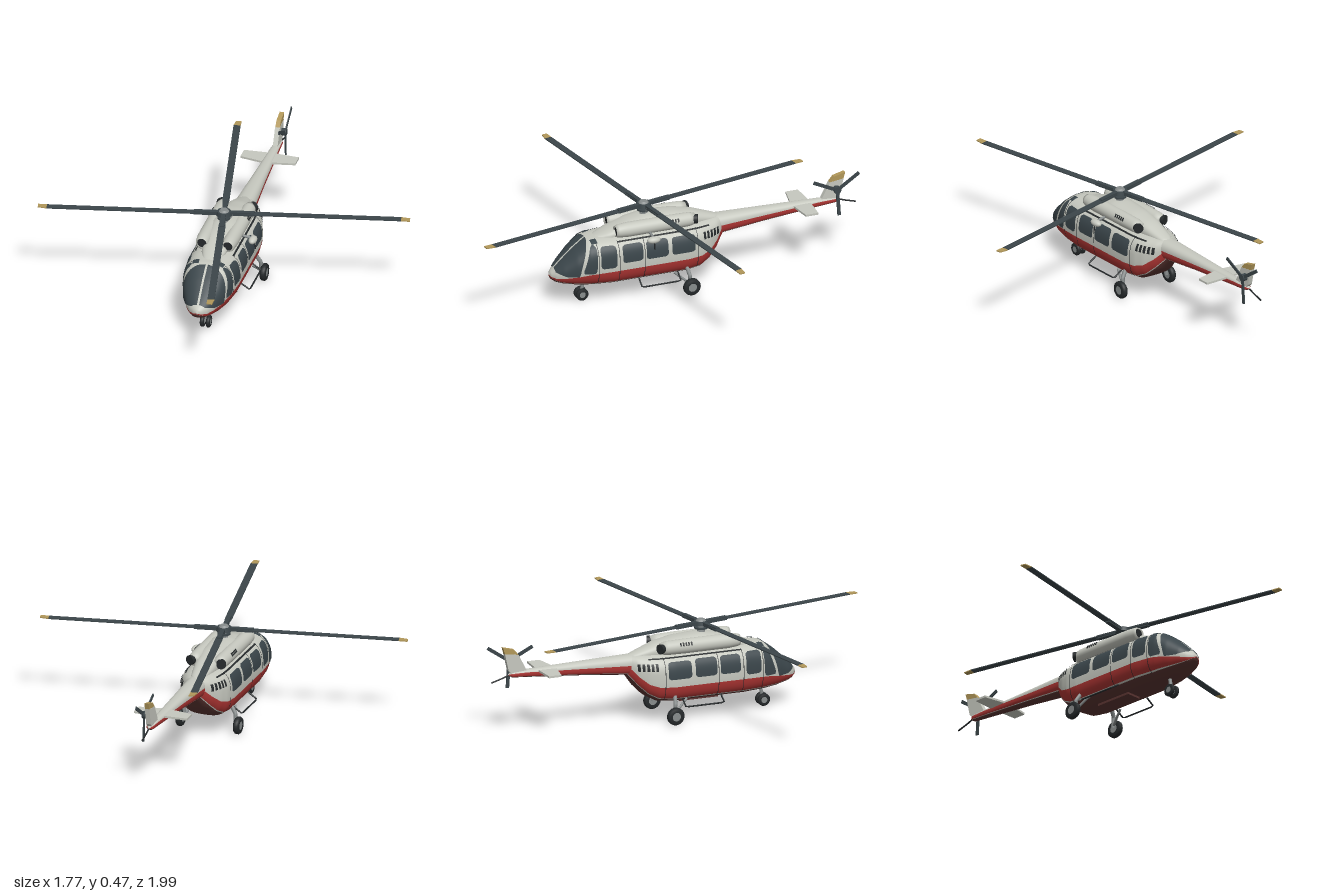
import * as THREE from 'three';

const M = (name, color, double) => {
  const m = new THREE.MeshStandardMaterial({ color });
  m.name = name;
  if (double) m.side = THREE.DoubleSide;
  return m;
};
const lerp = THREE.MathUtils.lerp, rad = THREE.MathUtils.degToRad;

// Stations, front to back: z, halfWidth, yBottom, yTop, bellyTop, redTop, squareness
const HULL = [
  [0.597, 0.001, 0.156, 0.164, 0.157, 0.161, 2.2], [0.59, 0.02, 0.14, 0.178, 0.150, 0.156, 2.2],
  [0.57, 0.045, 0.125, 0.198, 0.138, 0.152, 2.2], [0.54, 0.068, 0.115, 0.228, 0.130, 0.157, 2.3],
  [0.48, 0.098, 0.104, 0.283, 0.122, 0.168, 2.5], [0.42, 0.116, 0.098, 0.328, 0.118, 0.178, 2.7],
  [0.39, 0.121, 0.097, 0.335, 0.116, 0.18, 2.8], [0.30, 0.129, 0.094, 0.338, 0.115, 0.183, 3],
  [-0.08, 0.129, 0.094, 0.338, 0.115, 0.183, 3], [-0.15, 0.122, 0.103, 0.338, 0.124, 0.187, 3],
  [-0.20, 0.105, 0.13, 0.338, 0.15, 0.203, 2.9], [-0.245, 0.078, 0.175, 0.337, 0.193, 0.24, 2.7],
  [-0.275, 0.05, 0.215, 0.335, 0.23, 0.275, 2.5], [-0.30, 0.03, 0.25, 0.33, 0.26, 0.29, 2.4],
];
const BOOM = [
  [-0.2, 0.055, 0.235, 0.337, 0.246, 0.29, 2.5], [-0.27, 0.05, 0.238, 0.337, 0.249, 0.292, 2.5],
  [-0.5, 0.036, 0.262, 0.332, 0.27, 0.301, 2.5], [-0.8, 0.022, 0.287, 0.325, 0.292, 0.314, 2.5],
  [-0.88, 0.018, 0.293, 0.32, 0.297, 0.314, 2.4], [-0.9, 0.001, 0.305, 0.308, 0.306, 0.307, 2.2],
];
const COWL = [
  [0.37, 0.03, 0.32, 0.335, 0.325, 0.33, 2.2], [0.30, 0.058, 0.3, 0.362, 0.31, 0.32, 2.4],
  [0.2, 0.07, 0.3, 0.396, 0.31, 0.32, 2.5], [0.1, 0.074, 0.3, 0.412, 0.31, 0.32, 2.5],
  [-0.04, 0.07, 0.3, 0.404, 0.31, 0.32, 2.5], [-0.14, 0.056, 0.3, 0.385, 0.31, 0.32, 2.4],
  [-0.25, 0.035, 0.3, 0.345, 0.31, 0.32, 2.3], [-0.29, 0.002, 0.31, 0.33, 0.315, 0.32, 2.2],
];

// Cross-section interpolated at z
function section(st, z) {
  let i = 0;
  while (i < st.length - 2 && z < st[i + 1][0]) i++;
  const t = THREE.MathUtils.clamp((z - st[i][0]) / (st[i + 1][0] - st[i][0]), 0, 1);
  const [, w, yb, yt, y1, y2, n] = st[i].map((v, k) => lerp(v, st[i + 1][k], t));
  return { w, mid: (yb + yt) / 2, h: (yt - yb) / 2, y1, y2, n };
}
function angleAt(s, y) {
  const t = THREE.MathUtils.clamp((y - s.mid) / s.h, -1, 1);
  return Math.asin(Math.sign(t) * Math.abs(t) ** (s.n / 2));
}
function surface(s, z, a, side, off = 0) {
  const e = 2 / s.n, sn = Math.sin(a);
  return [side * (s.w + off) * Math.abs(Math.cos(a)) ** e,
    s.mid + (s.h + off) * Math.sign(sn) * Math.abs(sn) ** e, z];
}
function buffer(pos, index) {
  const g = new THREE.BufferGeometry();
  g.setAttribute('position', new THREE.Float32BufferAttribute(pos, 3));
  g.setIndex(index);
  g.computeVertexNormals();
  return g;
}
// Closed skin over stations; bands from keel to ridge get mats[0..3]
function loft(st, mats) {
  const steps = [8, 1, 6, 13], half = 28, ring = 56, pos = [], zs = [];
  st.forEach((s, i) => {
    if (i) for (let k = 1; k <= 4; k++) zs.push(lerp(st[i - 1][0], s[0], k / 4));
    else zs.push(s[0]);
  });
  for (const z of zs) {
    const s = section(st, z);
    const ys = [s.y1, lerp(s.y1, s.y2, 0.09), s.y2];
    const b = [-Math.PI / 2, ...ys.map((y) => angleAt(s, y)), Math.PI / 2], as = [b[0]];
    steps.forEach((c, k) => { for (let q = 1; q <= c; q++) as.push(lerp(b[k], b[k + 1], q / c)); });
    for (let j = 0; j < ring; j++) pos.push(...surface(s, z, as[j <= half ? j : ring - j], j <= half ? 1 : -1));
  }
  const lists = [[], [], [], []];
  for (let i = 0; i < zs.length - 1; i++) for (let j = 0; j < ring; j++) {
    const row = j < half ? j : ring - 1 - j;
    const band = row < 8 ? 0 : row < 9 ? 1 : row < 15 ? 2 : 3;
    const a = i * ring + j, d = i * ring + (j + 1) % ring;
    lists[band].push(a, a + ring, d + ring, a, d + ring, d);
  }
  const g = buffer(pos, lists.flat());
  let start = 0;
  lists.forEach((l, k) => { g.addGroup(start, l.length, k); start += l.length; });
  return new THREE.Mesh(g, mats);
}
// Thin panel following the hull; f(u, v) gives z and a function for the angle
function patch(f, nu, nv, side, off) {
  const pos = [], idx = [];
  for (let i = 0; i <= nu; i++) for (let j = 0; j <= nv; j++) {
    const [z, angle] = f(i / nu, j / nv), s = section(HULL, z);
    pos.push(...surface(s, z, angle(s), side, off));
    if (i < nu && j < nv) {
      const a = i * (nv + 1) + j, b = a + nv + 1;
      idx.push(...(side > 0 ? [a, b, b + 1, a, b + 1, a + 1] : [a, b + 1, b, a, a + 1, b + 1]));
    }
  }
  return buffer(pos, idx);
}

export function createModel() {
  const root = new THREE.Group();
  const light = M('light grey paint', 0xc6c8bf), red = M('red paint', 0xab3432), belly = M('dark belly paint', 0x5a3431);
  const glass = M('dark glass', 0x3b464b, true), blade = M('rotor dark grey', 0x3c464a), black = M('black rubber', 0x25292b, true);
  const metal = M('grey metal', 0x888d8d), gold = M('ochre tip', 0xb2985a);
  const add = (name, geo, mat, x = 0, y = 0, z = 0, parent = root) => {
    const m = new THREE.Mesh(geo, mat);
    m.name = name; m.position.set(x, y, z); parent.add(m);
    return m;
  };
  const rod = (name, pts, r, mat) => {
    const path = new THREE.CurvePath(), v = pts.map((p) => new THREE.Vector3(...p));
    for (let i = 1; i < v.length; i++) path.add(new THREE.LineCurve3(v[i - 1], v[i]));
    return add(name, new THREE.TubeGeometry(path, (v.length - 1) * 6, r, 8), mat);
  };
  const slab = (pts, depth) => new THREE.ExtrudeGeometry(
    new THREE.Shape(pts.map((p) => new THREE.Vector2(...p))), { depth, bevelEnabled: false }).translate(0, 0, -depth / 2);

  // Painted skins
  const paint = [belly, light, red, light];
  for (const [name, st, mats] of [['fuselage', HULL, paint], ['tailBoom', BOOM, paint], ['cowling', COWL, [light, light, light, light]]]) {
    const m = loft(st, mats); m.name = name; root.add(m);
  }

  // Panel with rounded corners on the hull side; lean shifts the top edge in z
  const panel = (name, zf, zr, y0, y1, side, mat = glass, r = 0.014, lean = [0, 0], off = 0.003) => {
    const f = (u, v) => {
      const c = Math.max(0, (Math.abs(2 * v - 1) - 0.65) / 0.35), inset = r * (1 - Math.sqrt(1 - c * c));
      return [lerp(zf + lean[0] * v - inset, zr + lean[1] * v + inset, u), (s) => angleAt(s, lerp(y0, y1, v))];
    };
    add(name, patch(f, 8, 16, side, off), mat);
  };
  for (const s of [1, -1]) {
    // Windshield halves with a centre post
    const shield = (u, v) => {
      const z = lerp(0.574, lerp(0.475, 0.412, v), u);
      return [z, (q) => lerp(angleAt(q, 0.17 + Math.max(0, z - 0.53) * 0.3),
        Math.acos((0.005 / q.w) ** (q.n / 2)), v)];
    };
    add('windshield', patch(shield, 20, 20, s, 0.003), glass);
    // Roof windows, cabin windows, door seams, rails and vents
    add('roofWindow', patch((u, v) => [lerp(0.405, 0.375, u), () => rad(lerp(58, 76, v))], 4, 6, s, 0.003), glass);
    panel('cockpitWindow', 0.46, 0.392, 0.185, 0.318, s, glass, 0.01, [-0.045, -0.005]);
    panel('doorWindow', 0.372, 0.292, 0.205, 0.312, s);
    panel('cabinWindow', 0.262, 0.158, 0.222, 0.308, s);
    panel('cabinWindow', 0.14, 0.028, 0.222, 0.308, s);
    panel('rearWindow', 0.008, -0.112, 0.222, 0.305, s);
    for (const z of [0.384, 0.28, 0.15, -0.125]) panel('doorSeam', z, z - 0.003, 0.115, 0.325, s, black, 0, [0, 0], 0.002);
    panel('doorRail', 0.28, -0.2, 0.318, 0.323, s, black, 0, [0, 0], 0.004);
    for (let i = 0; i < 5; i++) panel('ventSlit', -0.16 - i * 0.02, -0.172 - i * 0.02, 0.268, 0.302, s, black, 0, [0, 0], 0.0035);

    // Engine nacelle with intake, exhaust and louvres
    const prof = [[0, -0.13], [0.027, -0.13], [0.034, -0.1], [0.036, 0], [0.036, 0.22], [0.032, 0.265], [0.027, 0.28], [0.022, 0.272]];
    add('engineNacelle', new THREE.LatheGeometry(prof.map((p) => new THREE.Vector2(...p)), 28).rotateX(Math.PI / 2), light, s * 0.065, 0.366);
    add('engineIntake', new THREE.CircleGeometry(0.023, 24), black, s * 0.065, 0.366, 0.273);
    const ex = add('exhaust', new THREE.CylinderGeometry(0.022, 0.024, 0.04, 20).rotateX(Math.PI / 2), black, s * 0.074, 0.368, -0.122);
    ex.rotation.y = -s * 0.4;
    for (let i = 0; i < 5; i++) {
      const l = add('louvre', new THREE.BoxGeometry(0.003, 0.018, 0.007), black, s * 0.0965, 0.384, 0.02 - i * 0.014);
      l.rotation.z = s * 0.5;
    }

    // Main landing gear
    const wheel = (name, x, y, z, r, w) => {
      const g = new THREE.Group(); g.name = name; g.position.set(x, y, z); root.add(g);
      const q = w / 2, tyre = [[r * 0.5, -q], [r * 0.85, -q], [r, -q * 0.5], [r, q * 0.5], [r * 0.85, q], [r * 0.5, q]];
      add('tyre', new THREE.LatheGeometry(tyre.map((p) => new THREE.Vector2(...p)), 28).rotateZ(Math.PI / 2), black, 0, 0, 0, g);
      add('wheelHub', new THREE.CylinderGeometry(r * 0.5, r * 0.5, w * 0.9, 20).rotateZ(Math.PI / 2), metal, 0, 0, 0, g);
    };
    wheel('mainWheel', s * 0.148, 0.044, -0.085, 0.043, 0.028);
    rod('mainStrut', [[s * 0.1, 0.15, -0.07], [s * 0.132, 0.1, -0.08], [s * 0.132, 0.044, -0.085]], 0.01, metal);
    rod('mainBrace', [[s * 0.105, 0.115, -0.01], [s * 0.13, 0.055, -0.08]], 0.006, metal);
    wheel('noseWheel', s * 0.015, 0.032, 0.43, 0.031, 0.018);
    // Boarding step
    rod('step', [[s * 0.1, 0.115, 0.17], [s * 0.146, 0.085, 0.17], [s * 0.146, 0.085, -0.03], [s * 0.1, 0.115, -0.03]], 0.004, black);
  }
  rod('noseStrut', [[0, 0.032, 0.43], [0, 0.12, 0.415]], 0.009, metal);
  rod('noseAxle', [[-0.02, 0.032, 0.43], [0.02, 0.032, 0.43]], 0.006, metal);
  add('bellyPlate', new THREE.BoxGeometry(0.08, 0.012, 0.2), belly, 0, 0.09, 0.08);

  // Hoist pod on the left side
  add('hoistPod', new THREE.SphereGeometry(1, 24, 16).scale(0.02, 0.017, 0.034), light, 0.145, 0.327, 0.11);
  rod('hoistArm', [[0.08, 0.345, 0.11], [0.145, 0.335, 0.11]], 0.007, metal);
  rod('hoistHook', [[0.155, 0.315, 0.11], [0.158, 0.28, 0.11]], 0.003, black);

  // Main rotor
  const rotor = new THREE.Group(); rotor.name = 'mainRotor'; rotor.position.set(0, 0.453, 0.108); root.add(rotor);
  add('mast', new THREE.CylinderGeometry(0.014, 0.022, 0.06, 20), metal, 0, -0.03, 0, rotor);
  add('swashPlate', new THREE.CylinderGeometry(0.032, 0.032, 0.008, 24), blade, 0, -0.025, 0, rotor);
  add('hub', new THREE.CylinderGeometry(0.034, 0.038, 0.02, 24), blade, 0, 0, 0, rotor);
  add('hubCap', new THREE.CylinderGeometry(0.018, 0.026, 0.01, 24), metal, 0, 0.014, 0, rotor);
  for (let i = 0; i < 4; i++) {
    const arm = new THREE.Group(); arm.name = 'rotorArm'; arm.rotation.y = rad(11.4 + 90 * i); rotor.add(arm);
    add('bladeGrip', new THREE.BoxGeometry(0.115, 0.018, 0.022), blade, 0.088, 0, 0, arm);
    const lay = (pts) => slab(pts, 0.005).rotateX(Math.PI / 2);
    add('rotorBlade', lay([[0.06, -0.012], [0.13, -0.017], [0.855, -0.017], [0.855, 0.017], [0.13, 0.017], [0.06, 0.012]]), blade, 0, 0, 0, arm);
    add('bladeTip', lay([[0.855, -0.017], [0.898, -0.008], [0.898, 0.019], [0.855, 0.017]]), gold, 0, 0, 0, arm);
    rod('pitchLink', [[0.03, 0.425, 0.108], [0.045, 0.452, 0.108]], 0.003, metal);
  }

  // Tail fin, stabiliser and skid
  const upright = (pts, d) => slab(pts, d).rotateY(-Math.PI / 2);
  add('tailFin', upright([[-0.8, 0.31], [-0.87, 0.295], [-0.9, 0.33], [-0.919, 0.415], [-0.848, 0.405], [-0.81, 0.33]], 0.024), light);
  add('finCap', upright([[-0.848, 0.405], [-0.919, 0.415], [-0.928, 0.447], [-0.87, 0.432]], 0.022), gold);
  add('stabiliser', slab([[-0.137, -0.677], [0, -0.652], [0.137, -0.677], [0.137, -0.741], [0, -0.748], [-0.137, -0.741]].reverse(), 0.01).rotateX(Math.PI / 2), light, 0, 0.314);
  rod('tailSkid', [[0, 0.31, -0.88], [0, 0.292, -0.93], [0, 0.276, -0.985]], 0.004, black);

  // Tail rotor
  const tail = new THREE.Group(); tail.name = 'tailRotor'; tail.position.set(0.03, 0.367, -0.88); root.add(tail);
  add('tailHub', new THREE.CylinderGeometry(0.018, 0.018, 0.026, 20).rotateZ(Math.PI / 2), blade, -0.006, 0, 0, tail);
  for (let i = 0; i < 3; i++) {
    const b = add('tailBlade', new THREE.BoxGeometry(0.005, 0.135, 0.017).translate(0, 0.0675, 0), blade, 0, 0, 0, tail);
    b.rotation.x = rad(64 + 120 * i);
  }
  return root;
}
